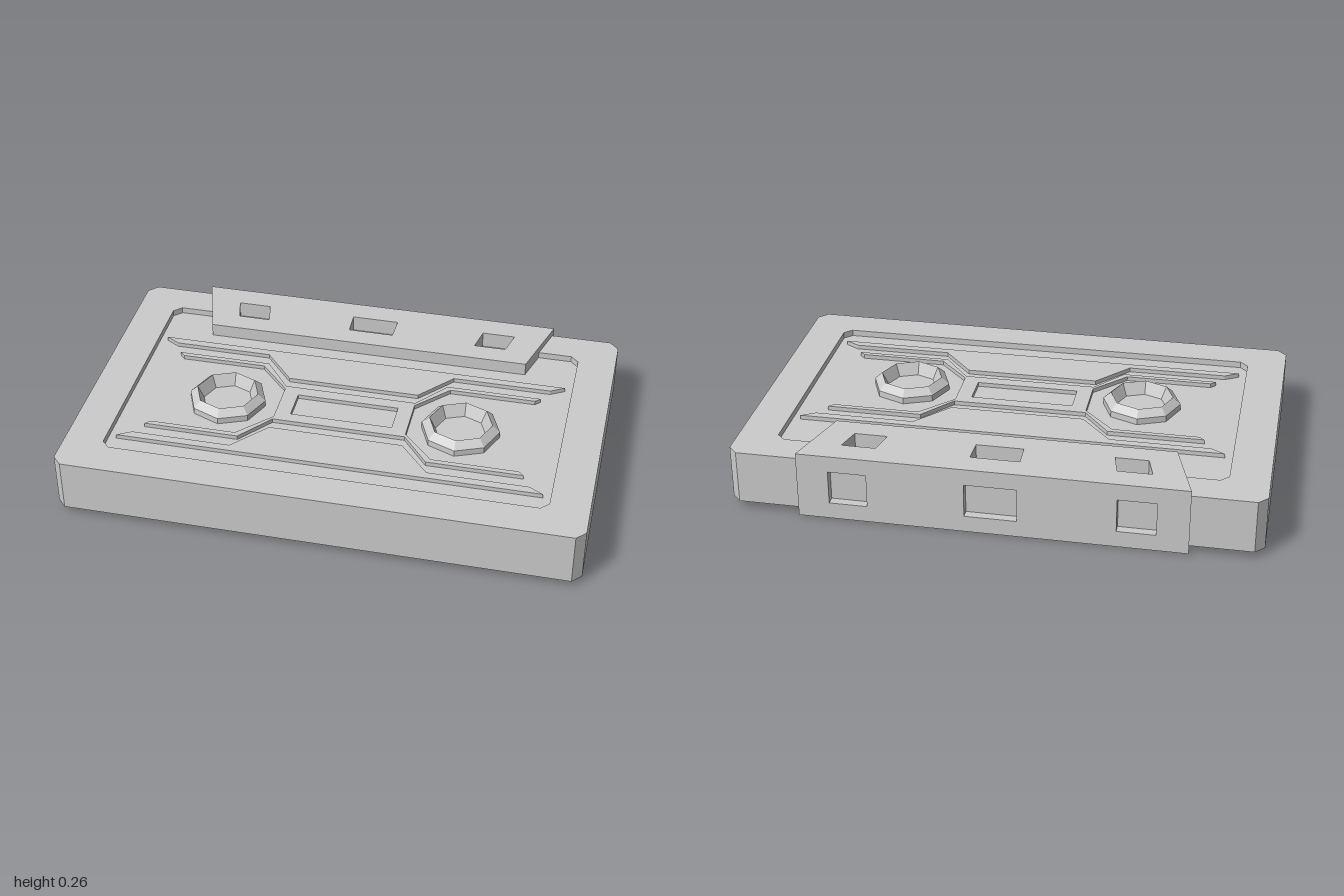
import * as THREE from 'three';

const MID = 0.131; // half of the full height
const material = new THREE.MeshStandardMaterial({ color: 0xcccccc, flatShading: true });

// Completes a right-hand outline with its mirror image across x = 0.
const mirrorX = (pts) => [...pts, ...pts.map(([x, z]) => [-x, z]).reverse()];
const toVectors = (pts) => pts.map(([x, z]) => new THREE.Vector2(x, z));

// Upright prism from an outline in x, z between two heights.
function prism(name, pts, y0, y1, holes = []) {
  const shape = new THREE.Shape(toVectors(pts));
  shape.holes = holes.map((h) => new THREE.Path(toVectors(h)));
  const geo = new THREE.ExtrudeGeometry(shape, { depth: y1 - y0, bevelEnabled: false });
  geo.rotateX(Math.PI / 2).translate(0, y1, 0);
  const mesh = new THREE.Mesh(geo, material);
  mesh.name = name;
  return mesh;
}

export function createModel() {
  const group = new THREE.Group();
  group.name = 'cassette';

  // Outer frame, open at the back where the head block sits
  const frame = mirrorX([
    [0.688, -0.48], [0.82, -0.48], [0.85, -0.45], [0.85, 0.455], [0.82, 0.485],
  ]).reverse();
  const outer = mirrorX([
    [0.726, -0.612], [0.965, -0.612], [1, -0.575], [1, 0.585], [0.965, 0.622],
  ]);
  group.add(prism('frame', [...outer, ...frame], 0.027, 0.235));

  // Recessed panel inside the frame
  const panel = mirrorX([[0.64, -0.36], [0.69, -0.5], [0.87, -0.5], [0.87, 0.5]]);
  group.add(prism('panel', panel, 0.052, 0.21));

  // Head block: two slabs with slanted pockets, and a middle slab notched at the back
  const block = mirrorX([[0.73, -0.625], [0.65, -0.35]]);
  const sidePocket = [[0.45, -0.53], [0.58, -0.53], [0.555, -0.435], [0.43, -0.435]];
  const pockets = [
    sidePocket,
    sidePocket.map(([x, z]) => [-x, z]),
    mirrorX([[0.093, -0.53], [0.09, -0.435]]),
  ];
  const notched = mirrorX([
    [0.098, -0.59], [0.098, -0.625], [0.465, -0.625], [0.465, -0.59],
    [0.61, -0.59], [0.61, -0.625], [0.73, -0.625], [0.65, -0.35],
  ]);
  group.add(prism('headBlockMiddle', notched, 0.065, 0.197));

  // Ribs and hubs, repeated on both faces
  const strip = mirrorX([[0.82, -0.272], [0.765, -0.24], [0.38, -0.24], [0.26, -0.1]]);
  const arm = [
    [0.26, -0.047], [0.365, -0.18], [0.735, -0.18], [0.715, -0.16], [0.38, -0.16], [0.26, -0.03],
  ];
  const flipZ = ([x, z]) => [x, 0.125 - z];
  const centre = mirrorX([...arm, ...arm.map(flipZ).reverse()]);
  const window = mirrorX([[0.2, 0], [0.2, 0.125]]);
  const hubProfile = toVectors([
    [0.152, 0.074], [0.152, 0.104], [0.122, 0.131], [0.098, 0.082], [0, 0.082],
  ]);

  for (const side of [1, -1]) {
    const face = side > 0 ? 'top' : 'bottom';
    const layer = (name, pts, a, b, holes) => {
      const ys = [MID + side * a, MID + side * b].sort((p, q) => p - q);
      group.add(prism(face + name, pts, ys[0], ys[1], holes));
    };
    layer('HeadBlock', block, 0.066, 0.131, pockets);
    layer('BackRib', strip, 0.07, 0.096);
    layer('FrontRib', strip.map(flipZ), 0.07, 0.096);
    layer('CentreRib', centre, 0.07, 0.096, [window]);

    // Eight-sided reel hubs
    for (const x of [-0.465, 0.46]) {
      const hub = new THREE.Mesh(new THREE.LatheGeometry(hubProfile, 8), material);
      hub.name = face + 'Hub';
      hub.position.set(x, MID, 0.075);
      if (side < 0) hub.rotation.x = Math.PI;
      group.add(hub);
    }
  }
  return group;
}
